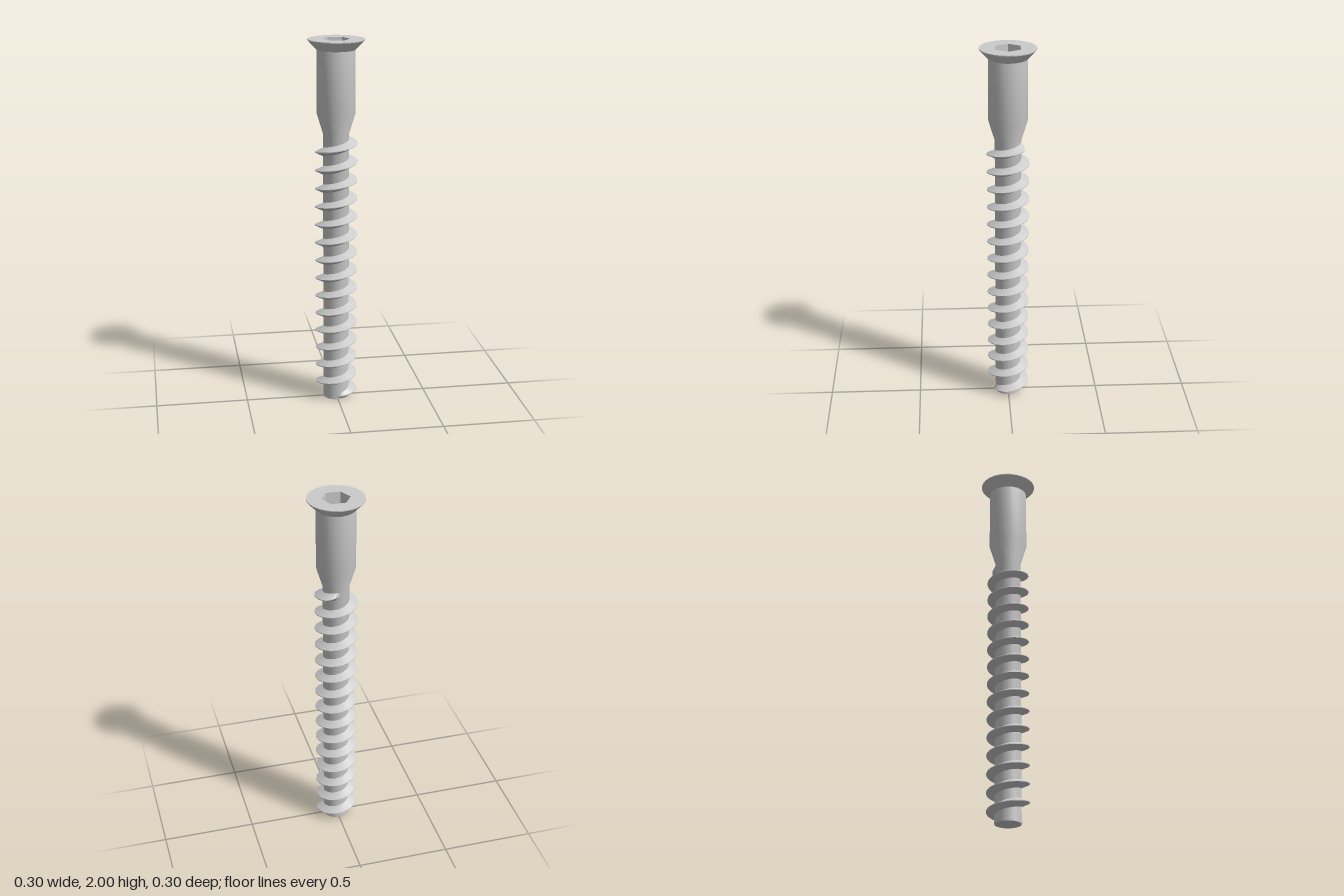
import * as THREE from 'three';
import { toCreasedNormals } from 'three/addons/utils/BufferGeometryUtils.js';

const SIDES = 24;
const TURN = THREE.MathUtils.degToRad(2.5); // small twist of the head and socket
const SOCKET_R = 0.075, SOCKET_DEPTH = 0.1, HEAD_R = 0.15;

// Corners of a regular polygon lying in the shape plane
function polygon(radius, sides) {
  return Array.from({ length: sides }, (_, i) => {
    const a = -TURN + (i / sides) * Math.PI * 2;
    return new THREE.Vector2(radius * Math.cos(a), radius * Math.sin(a));
  });
}

// Revolved surface from [radius, height] pairs
function lathe(profile) {
  const points = profile.map(([r, y]) => new THREE.Vector2(r, y));
  return toCreasedNormals(new THREE.LatheGeometry(points, SIDES, Math.PI / 2 - TURN), 0.5);
}

// Triangular ridge swept up a right-handed helix, fading out at both ends
function threadGeometry() {
  const pitch = 0.1008, yStart = 0.04, root = 0.066, tip = 0.113, half = 0.025;
  const from = -100 / 360, to = 14 + 95 / 360, steps = 520;
  const positions = [], index = [];
  for (let i = 0; i <= steps; i++) {
    const t = from + ((to - from) * i) / steps;
    const a = t * Math.PI * 2, y = yStart + pitch * t;
    const fade = Math.max(0, Math.min(1, (t - from) / 0.25, (to - t) / 0.14));
    const section = [
      [root, y - half],
      [root + (tip - root) * fade, y - 0.002],
      [root + (tip - root) * fade, y + 0.002],
      [root, y + half],
    ];
    for (const [r, h] of section) {
      positions.push(r * Math.cos(a), Math.max(0.001, h), -r * Math.sin(a));
    }
    if (i === steps) break;
    for (let k = 0; k < 3; k++) {
      const p = i * 4 + k, q = p + 4;
      index.push(p, q + 1, p + 1, p, q, q + 1);
    }
  }
  const geometry = new THREE.BufferGeometry();
  geometry.setAttribute('position', new THREE.Float32BufferAttribute(positions, 3));
  geometry.setIndex(index);
  return toCreasedNormals(geometry, 0.5);
}

export function createModel() {
  const group = new THREE.Group();
  const material = new THREE.MeshStandardMaterial({ color: 0xcccccc });
  const insideMaterial = new THREE.MeshStandardMaterial({ color: 0xcccccc, side: THREE.DoubleSide });
  const add = (name, geometry, mat = material) => {
    const mesh = new THREE.Mesh(geometry, mat);
    mesh.name = name;
    group.add(mesh);
    return mesh;
  };

  // Core, tapered shoulder and thick shank
  add('shaft', lathe([[0, 0], [0.07, 0], [0.07, 1.5], [0.103, 1.61], [0.103, 1.945]]));
  add('thread', threadGeometry());

  // Countersunk head with a hexagonal opening in its flat top
  add('headCone', lathe([[0.103, 1.945], [HEAD_R, 1.995], [HEAD_R, 2]]));
  const top = new THREE.Shape(polygon(HEAD_R, SIDES));
  top.holes.push(new THREE.Path(polygon(SOCKET_R, 6)));
  add('headTop', new THREE.ShapeGeometry(top).rotateX(-Math.PI / 2).translate(0, 2, 0));

  // Hexagonal socket: walls and floor
  const walls = new THREE.CylinderGeometry(
    SOCKET_R, SOCKET_R, SOCKET_DEPTH, 6, 1, true, Math.PI / 2 - TURN);
  add('socketWalls', toCreasedNormals(walls, 0.5), insideMaterial)
    .position.y = 2 - SOCKET_DEPTH / 2;
  const floor = new THREE.ShapeGeometry(new THREE.Shape(polygon(SOCKET_R, 6)));
  add('socketFloor', floor.rotateX(-Math.PI / 2).translate(0, 2 - SOCKET_DEPTH, 0));

  return group;
}
